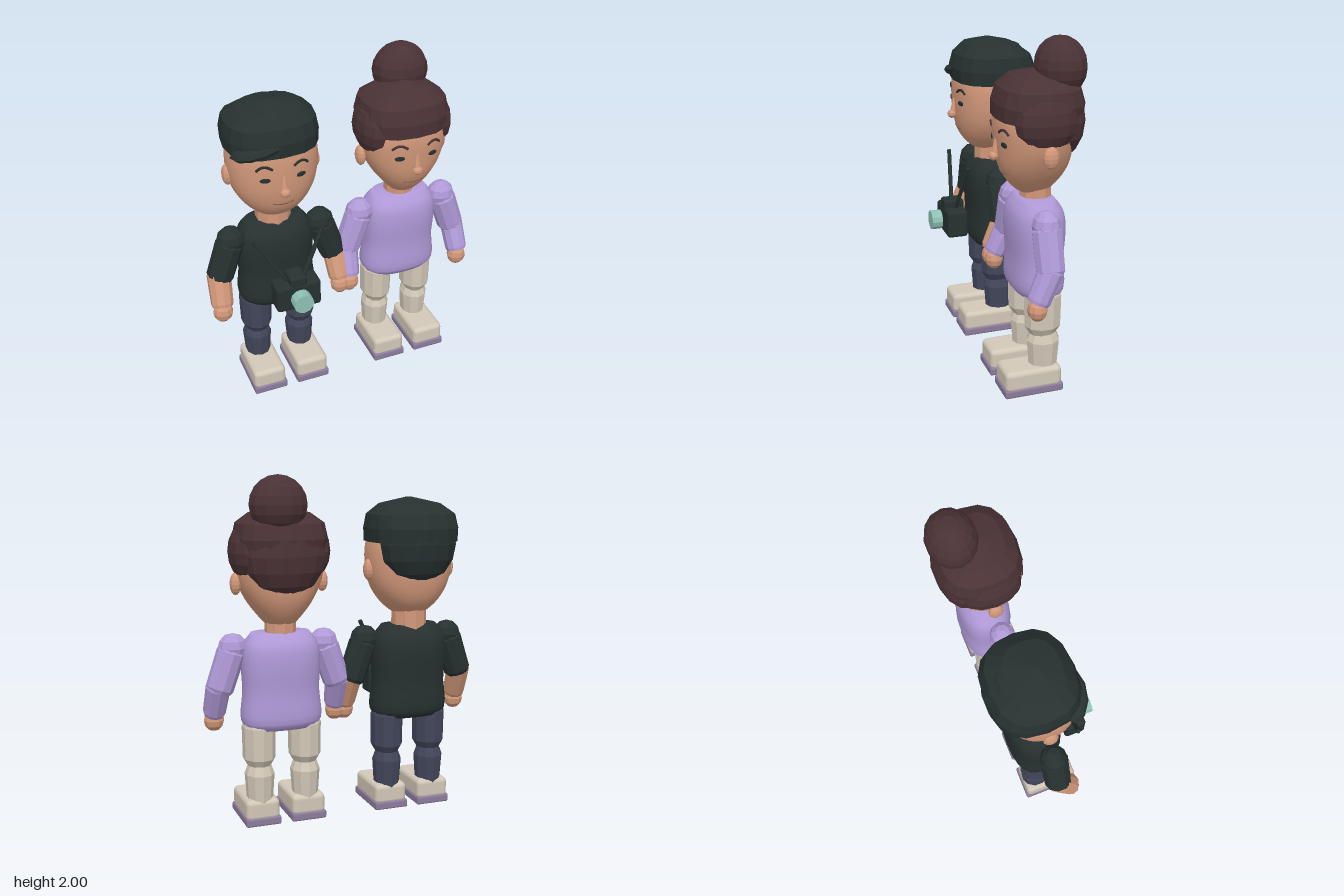
import * as THREE from 'three';
import { RoundedBoxGeometry } from 'three/addons/geometries/RoundedBoxGeometry.js';

const V = (x, y, z) => new THREE.Vector3(x, y, z);
const mat = (name, color) => {
  const m = new THREE.MeshStandardMaterial({ color });
  m.name = name;
  return m;
};

function add(parent, name, geometry, material, x = 0, y = 0, z = 0) {
  const mesh = new THREE.Mesh(geometry, material);
  mesh.name = name;
  mesh.position.set(x, y, z);
  parent.add(mesh);
  return mesh;
}

// give a geometry hard facets
function facet(geometry) {
  const g = geometry.index ? geometry.toNonIndexed() : geometry;
  g.computeVertexNormals();
  return g;
}

// smooth rows [y, rx, rz, cz] along a spline
function smoothRows(rows, count) {
  const a = new THREE.CatmullRomCurve3(rows.map(r => V(r[1], r[0], r[2])));
  return Array.from({ length: count + 1 }, (_, i) => {
    const p = a.getPoint(i / count);
    return [p.y, p.x, p.z, rows[0][3]];
  });
}

// closed body from stacked superellipse sections, bottom to top
function loft(rows, sides, power) {
  const pos = [], idx = [], e = 2 / power, n = rows.length;
  const bend = v => Math.sign(v) * Math.abs(v) ** e;
  for (const [y, rx, rz, cz] of rows)
    for (let i = 0; i < sides; i++) {
      const t = (i / sides) * Math.PI * 2;
      pos.push(rx * bend(Math.sin(t)), y, cz + rz * bend(Math.cos(t)));
    }
  pos.push(0, rows[0][0], rows[0][3], 0, rows[n - 1][0], rows[n - 1][3]);
  for (let j = 0; j < n; j++)
    for (let i = 0; i < sides; i++) {
      const a = j * sides + i, b = j * sides + (i + 1) % sides;
      if (j < n - 1) idx.push(a, b, a + sides, b, b + sides, a + sides);
      if (j === 0) idx.push(b, a, n * sides);
      if (j === n - 1) idx.push(a, b, n * sides + 1);
    }
  const g = new THREE.BufferGeometry();
  g.setAttribute('position', new THREE.Float32BufferAttribute(pos, 3));
  g.setIndex(idx);
  g.computeVertexNormals();
  return g;
}

// turned faceted segment between two points, profile of [t, radius]
function limb(parent, name, a, b, profile, material, sides = 10) {
  const len = a.distanceTo(b);
  const pts = profile.map(([t, r]) => new THREE.Vector2(r, t * len));
  const mesh = add(parent, name, facet(new THREE.LatheGeometry(pts, sides)), material, a.x, a.y, a.z);
  mesh.quaternion.setFromUnitVectors(V(0, 1, 0), b.clone().sub(a).normalize());
  return mesh;
}

function ball(parent, name, p, r, material, w = 12, h = 8, flat = true) {
  let g = new THREE.SphereGeometry(1, w, h);
  g.scale(...r);
  if (flat) g = facet(g);
  return add(parent, name, g, material, ...p);
}

const tube = (points, r) => new THREE.TubeGeometry(new THREE.CatmullRomCurve3(points), 10, r, 6);

function buildPerson(c, o) {
  const p = new THREE.Group();
  p.name = o.name;

  // torso and neck
  add(p, 'torso', loft(smoothRows([[0.565, 0.2, 0.12, -0.065], [0.61, 0.234, 0.148, -0.065], [0.78, 0.222, 0.145, -0.065],
    [0.95, 0.228, 0.154, -0.065], [1.05, 0.215, 0.14, -0.065], [1.12, 0.17, 0.09, -0.065]], 16), 24, 2.5), o.top);
  add(p, 'neck', facet(new THREE.CylinderGeometry(o.neck, o.neck, 0.2, 10)), c.skin, 0, 1.16, -0.07);

  // head and a lookup of the face surface
  const rows = smoothRows(o.head, 28);
  add(p, 'head', loft(rows, 36, 2.25), c.skin);
  const face = (x, y, lift = 0) => {
    const i = Math.max(1, rows.findIndex(r => r[0] >= y));
    const [a, b] = [rows[i - 1], rows[i]], k = (y - a[0]) / (b[0] - a[0]);
    const rx = a[1] + (b[1] - a[1]) * k, rz = a[2] + (b[2] - a[2]) * k;
    return V(x, y, a[3] + rz * (1 - Math.abs(x / rx) ** 2.25) ** (1 / 2.25) + lift);
  };

  // face features
  const e = o.eyeY;
  for (const s of [-1, 1]) {
    const q = face(s * 0.103, e, 0.001);
    ball(p, 'eye', q.toArray(), [0.03, 0.015, 0.005], c.dark, 14, 8, false).rotation.y = s * 0.25;
    add(p, 'eyebrow', tube([face(s * 0.06, e + 0.063), face(s * 0.09, e + 0.081), face(s * 0.12, e + 0.081),
      face(s * 0.148, e + 0.06)], 0.008), o.hair);
    ball(p, 'ear', [s * 0.255, o.earY, -0.06], [0.032, 0.063, 0.045], c.skin, 10, 8);
  }
  limb(p, 'noseBridge', face(0, e - 0.08, 0.012), face(0, e + 0.01, -0.004), [[0, 0], [0, 0.022], [1, 0.011], [1, 0]], c.skin, 8);
  ball(p, 'noseTip', face(0, e - 0.083, 0.02).toArray(), [0.031, 0.026, 0.026], c.skin, 10, 8);
  const m = o.mouthY;
  add(p, 'mouth', tube([face(-0.06, m + 0.006), face(-0.025, m - 0.003), face(0.025, m - 0.003), face(0.06, m + 0.006)], 0.004), c.lip);

  // hair crown and back
  add(p, 'hairCrown', facet(loft(o.crown, 16, 2.6)), o.hair);
  ball(p, 'hairBack', o.back, [0.235, 0.235, 0.14], o.hair, 14, 8);

  for (const s of [-1, 1]) {
    // arms
    const shoulder = V(s * 0.272, 1.035, -0.032), elbow = V(s * 0.358, 0.785, -0.03), wrist = V(s * 0.37, 0.64, 0.048);
    ball(p, 'shoulder', shoulder.toArray(), [0.086, 0.084, 0.078], o.top, 10, 6);
    limb(p, 'upperArm', elbow, shoulder, [[0, 0], [0, 0.068], [0.08, 0.08], [0.9, 0.083], [1, 0.06], [1, 0]], o.top);
    limb(p, 'forearm', wrist, V(s * 0.357, 0.845, -0.045), [[0, 0], [0, 0.06], [0.08, 0.066], [0.85, 0.071], [1, 0.05], [1, 0]], o.sleeve);
    ball(p, 'hand', [s * 0.37, 0.602, 0.05], [0.06, 0.064, 0.055], c.skin, 10, 6);

    // legs
    const x = s * 0.138;
    limb(p, 'thigh', V(x, 0.34, -0.07), V(x, 0.62, -0.07), [[0, 0], [0, 0.065], [0.18, 0.093], [0.85, 0.096], [1, 0.08], [1, 0]], o.trousers)
      .scale.z = 1.15;
    limb(p, 'shin', V(x, 0.13, -0.075), V(x, 0.352, -0.075), [[0, 0], [0, 0.075], [0.75, 0.086], [1, 0.066], [1, 0]], o.trousers)
      .scale.z = 1.12;

    // shoes
    add(p, 'shoe', new RoundedBoxGeometry(0.2, 0.125, 0.335, 2, 0.03), c.cream, x, 0.0925, 0.007);
    add(p, 'sole', new RoundedBoxGeometry(0.21, 0.05, 0.35, 1, 0.012), c.sole, x, 0.025, 0.007);
  }
  return p;
}

export function createModel() {
  const c = {
    skin: mat('skin', 0xd2987a), lilac: mat('lilac knit', 0xb09ad8), brown: mat('brown hair', 0x4a3235),
    dark: mat('dark green', 0x263130), navy: mat('navy cloth', 0x42465a), cream: mat('cream', 0xd2c8b8),
    sole: mat('mauve sole', 0x8c7c9c), lens: mat('mint lens', 0x8fc0b4), lip: mat('lip', 0x945a4a),
  };
  const model = new THREE.Group();
  model.name = 'couple';

  const man = buildPerson(c, {
    name: 'man', top: c.dark, sleeve: c.skin, trousers: c.navy, hair: c.dark, neck: 0.104,
    eyeY: 1.487, earY: 1.45, mouthY: 1.318, back: [0, 1.6, -0.19],
    head: [[1.175, 0.04, 0.05, -0.05], [1.2, 0.105, 0.11, -0.05], [1.27, 0.18, 0.172, -0.05], [1.37, 0.237, 0.203, -0.05],
      [1.5, 0.26, 0.212, -0.05], [1.62, 0.25, 0.205, -0.05], [1.73, 0.19, 0.16, -0.05], [1.78, 0.06, 0.05, -0.05]],
    crown: [[1.612, 0.264, 0.245, -0.08], [1.69, 0.267, 0.25, -0.08], [1.77, 0.253, 0.222, -0.075],
      [1.83, 0.175, 0.15, -0.06], [1.868, 0.01, 0.01, -0.05]],
  });
  man.position.x = -0.4;
  model.add(man);

  // swept fringe
  const fringe = ball(man, 'sweptFringe', [-0.125, 1.65, 0.095], [0.15, 0.042, 0.09], c.dark, 10, 6);
  fringe.rotation.set(0, -0.2, 0.2);

  // camera on its straps
  add(man, 'cameraBody', new RoundedBoxGeometry(0.27, 0.17, 0.13, 2, 0.02), c.dark, 0.035, 0.738, 0.195);
  add(man, 'cameraTop', new RoundedBoxGeometry(0.1, 0.07, 0.125, 2, 0.015), c.dark, 0.035, 0.836, 0.195);
  const lens = new THREE.CylinderGeometry(0.06, 0.06, 0.065, 12);
  lens.rotateX(Math.PI / 2);
  add(man, 'cameraLens', facet(lens), c.lens, 0.035, 0.74, 0.304);
  for (const s of [-1, 1])
    limb(man, 'cameraStrap', V(0.035 + s * 0.05, 0.82, 0.185), V(0.015 + s * 0.212, 1.115, 0.145),
      [[0, 0], [0, 0.013], [1, 0.013], [1, 0]], c.dark, 6);

  const woman = buildPerson(c, {
    name: 'woman', top: c.lilac, sleeve: c.lilac, trousers: c.cream, hair: c.brown, neck: 0.09,
    eyeY: 1.447, earY: 1.4, mouthY: 1.268, back: [0, 1.56, -0.185],
    head: [[1.14, 0.04, 0.05, -0.05], [1.16, 0.075, 0.09, -0.05], [1.22, 0.13, 0.148, -0.05], [1.31, 0.195, 0.192, -0.05],
      [1.42, 0.243, 0.208, -0.05], [1.56, 0.255, 0.212, -0.05], [1.68, 0.21, 0.17, -0.05], [1.74, 0.06, 0.05, -0.05]],
    crown: [[1.57, 0.25, 0.235, -0.07], [1.65, 0.262, 0.24, -0.075], [1.735, 0.245, 0.215, -0.075],
      [1.79, 0.17, 0.15, -0.07], [1.83, 0.01, 0.01, -0.06]],
  });
  woman.position.x = 0.4;
  model.add(woman);

  // side hair and top bun
  for (const s of [-1, 1])
    ball(woman, 'hairSide', [s * 0.188, 1.575, -0.06], [0.1, 0.16, 0.178], c.brown, 12, 8);
  ball(woman, 'hairBun', [0.04, 1.838, -0.188], [0.165, 0.162, 0.143], c.brown, 14, 10);
  const tie = new THREE.TorusGeometry(0.085, 0.02, 6, 14);
  tie.rotateX(Math.PI / 2);
  add(woman, 'hairTie', tie, c.lilac, 0.03, 1.725, -0.18);

  return model;
}
